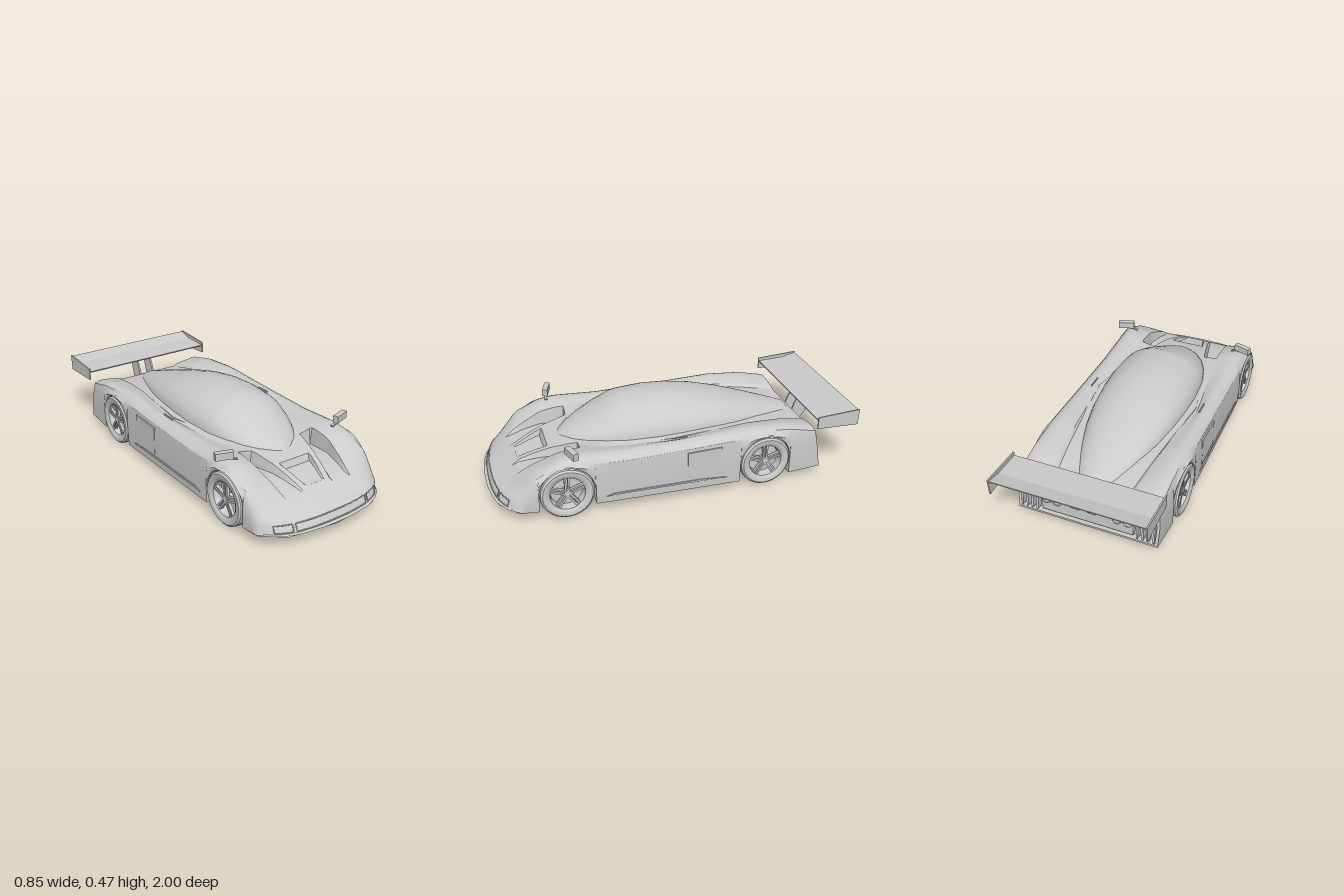
import * as THREE from 'three';
import { toCreasedNormals } from 'three/addons/utils/BufferGeometryUtils.js';

const mat = new THREE.MeshStandardMaterial({ color: 0xcccccc, side: THREE.DoubleSide });
const AXLES = [0.62, -0.465], WHEEL_Y = 0.143, ARCH = 0.146;

// Piecewise linear lookup, keys are [z, value] from front to back
function at(keys, z) {
  for (let i = 1; i < keys.length; i++) {
    const [a, va] = keys[i - 1], [b, vb] = keys[i];
    if (z >= b) return THREE.MathUtils.lerp(va, vb, THREE.MathUtils.clamp((a - z) / (a - b), 0, 1));
  }
  return keys[keys.length - 1][1];
}

// Body rules along z
const deckY = [[1, .07], [.985, .075], [.965, .118], [.9, .155], [.82, .205], [.74, .24], [.66, .268], [.55, .29], [.4, .305], [0, .31], [-.2, .308], [-.5, .29], [-.8, .25]];
const fenderY = [[1, .07], [.985, .075], [.965, .118], [.9, .165], [.82, .225], [.74, .27], [.64, .318], [.55, .33], [.3, .317], [0, .323], [-.4, .335], [-.6, .318], [-.8, .28]];
const halfW = [[1, .39], [.77, .398], [.4, .405], [-.4, .405], [-.8, .388]];
const floorY = [[1, .062], [.5, .055], [-.6, .038], [-.8, .045]];
const innerX = [[1, .09], [.83, .09], [.52, .16], [.3, .22], [0, .28], [-.8, .18]];
const outerX = [[1, .21], [.83, .21], [.65, .24], [.5, .24], [0, .3], [-.8, .22]];
const ductDepth = [[.86, 0], [.53, .075], [.522, .075], [.515, 0]];
const scoopX = [[.82, .06], [.66, .1], [.5, .1]];
const scoopDepth = [[.825, 0], [.815, .006], [.68, .03], [.665, 0]];

// Rounds the nose in plan
function warpZ(x, z) {
  if (z < 0.77) return z;
  const f = Math.pow(Math.max(0, 1 - Math.pow(Math.abs(x) / 0.405, 2.5)), 0.4);
  return 0.77 + (z - 0.77) * f;
}

function mirrorRing(half) {
  return [...half, ...half.slice(1, -1).reverse().map(([x, y, z]) => [-x, y, z])];
}

// Skin over closed rings ordered front to back, with both ends closed
function loft(rings, crease) {
  const out = [], n = rings[0].length, v = (p) => new THREE.Vector3(...p);
  const tri = (a, b, c) => {
    const A = v(a), area = v(b).sub(A).cross(v(c).sub(A)).length();
    if (area > 1e-9) out.push(...a, ...b, ...c);
  };
  const mid = (r) => [0, (r[0][1] + r[n / 2][1]) / 2, (r[0][2] + r[n / 2][2]) / 2];
  const first = rings[0], last = rings[rings.length - 1];
  for (let i = 0; i < n; i++) {
    const j = (i + 1) % n;
    for (let k = 1; k < rings.length; k++) {
      const a = rings[k - 1], b = rings[k];
      tri(a[i], a[j], b[i]);
      tri(a[j], b[j], b[i]);
    }
    tri(mid(first), first[j], first[i]);
    tri(mid(last), last[i], last[j]);
  }
  const g = new THREE.BufferGeometry();
  g.setAttribute('position', new THREE.Float32BufferAttribute(out, 3));
  return toCreasedNormals(g, crease);
}

function bodyRing(z) {
  const yc = at(deckY, z), fy = at(fenderY, z), w = at(halfW, z), yf = at(floorY, z);
  const xi = at(innerX, z), xo = at(outerX, z), xs = Math.min(at(scoopX, z), xi - 0.005);
  const k = THREE.MathUtils.clamp((fy - 0.06) / 0.26, 0, 1);
  const sd = z > .825 || z < .665 ? 0 : at(scoopDepth, z), dd = z > .86 || z < .515 ? 0 : at(ductDepth, z);
  const yo = fy - 0.02 * k, cut = dd > 0.004;
  const ductFloor = (y) => (cut ? yc - dd : y);
  let sill = yf;
  for (const c of AXLES) {
    const d = Math.abs(z - c);
    if (d <= ARCH) sill = WHEEL_Y + Math.sqrt(ARCH * ARCH - d * d);
  }
  const shoulder = Math.max(fy - 0.035 * k, Math.min(sill + 0.004, fy));
  const half = [
    [0, yc - sd], [xs - 0.008, yc - sd], [xs, yc], [xi, yc],
    [xi + 0.01, ductFloor(yc)], [xo - 0.01, ductFloor(THREE.MathUtils.lerp(yc, yo, 0.8))], [xo, yo],
    [THREE.MathUtils.lerp(xo, .35, .33), fy - 0.01 * k], [THREE.MathUtils.lerp(xo, .35, .66), fy - 0.002 * k],
    [.35, fy], [.377, fy - 0.012 * k], [w - 0.009, shoulder],
    [w, THREE.MathUtils.lerp(sill, shoulder, 0.6)], [w - 0.004, sill], [.275, sill], [.275, yf], [0, yf],
  ];
  // Tail leans forward towards the top
  const lean = THREE.MathUtils.clamp((-0.62 - z) / 0.18, 0, 1) * 0.04;
  return mirrorRing(half.map(([x, y]) => [x, y, warpZ(x, z) + lean * (y - 0.05) / 0.23]));
}

function bodyGeometry() {
  const zs = [1, .985, .965, .93, .9, .86, .825, .815, .79, .68, .665, .53, .523, .515, .4, .3, .2, .1, 0, -.1, -.2, -.28, -.66, -.72, -.8];
  for (const c of AXLES) {
    zs.push(c + ARCH + 0.001, c - ARCH - 0.001);
    for (let i = 0; i <= 14; i++) zs.push(c + ARCH * 0.9999 * Math.cos(Math.PI * i / 14));
  }
  const rings = zs.sort((a, b) => b - a).map(bodyRing);
  // Recessed tail panel
  const inset = rings[rings.length - 1].map(([x, y, z]) => [x * 0.96, 0.16 + (y - 0.16) * 0.9, z]);
  rings.push(inset, inset.map(([x, y, z]) => [x, y, z + 0.035]));
  return loft(rings, 0.55);
}

// Canopy stations: z, half width, base height, top height
const canopy = [[.6, .03, .25, .278], [.57, .085, .25, .3], [.53, .125, .265, .322], [.46, .17, .28, .358], [.37, .21, .295, .405], [.27, .237, .3, .454],
  [.23, .243, .3, .462], [.08, .255, .3, .47], [-.05, .25, .3, .463], [-.2, .235, .3, .437], [-.35, .207, .29, .396], [-.5, .165, .27, .348], [-.63, .125, .24, .306], [-.74, .09, .21, .268]];

function canopyRing([z, b, y0, y1]) {
  const half = [];
  for (let i = 0; i <= 9; i++) {
    const a = (i / 9) * Math.PI / 2;
    half.push([b * Math.sin(a), y0 + (y1 - y0) * Math.cos(a), z]);
  }
  half.push([0, y0 - 0.01, z]);
  return mirrorRing(half);
}

export function createModel() {
  const model = new THREE.Group();
  const add = (name, geo, x = 0, y = 0, z = 0, parent = model) => {
    const m = new THREE.Mesh(geo, mat);
    m.name = name;
    m.position.set(x, y, z);
    parent.add(m);
    return m;
  };
  const box = (x, y, z) => new THREE.BoxGeometry(x, y, z);
  // Plate drawn in (z, y), extruded across x and centred on it
  const plate = (pts, width) => new THREE.ExtrudeGeometry(
    new THREE.Shape(pts.map(([z, y]) => new THREE.Vector2(-z, y))), { depth: width, bevelEnabled: false },
  ).rotateY(Math.PI / 2).translate(-width / 2, 0, 0);

  add('body', bodyGeometry());
  add('canopy', loft(canopy.map(canopyRing), 0.5));

  // Thin frames around the nose lamps and grille
  const frame = (name, x0, x1) => {
    const p = (x, y) => new THREE.Vector3(x, y, warpZ(x, .985 - .02 * (y - .075) / .043));
    const xs = Array.from({ length: 9 }, (_, i) => x0 + (x1 - x0) * i / 8);
    const pts = [...xs.map((x) => p(x, .079)), ...xs.reverse().map((x) => p(x, .115))];
    const path = new THREE.CurvePath();
    pts.forEach((a, i) => path.add(new THREE.LineCurve3(a, pts[(i + 1) % pts.length])));
    add(name, new THREE.TubeGeometry(path, 100, 0.0028, 5, true));
  };
  frame('grilleFrame', -.222, .222);

  // Wheel, axis along x with the outer face towards +x
  const tyre = [[.1, .118], [.108, .123], [.13, .123], [.14, .115], [.143, .1], [.143, .015], [.135, 0], [.1, 0]];
  const rim = [[.1, 0], [.1, .118], [.092, .114], [.086, .085], [.086, .07], [0, .07]];
  const lathe = (pts) => toCreasedNormals(
    new THREE.LatheGeometry(pts.map(([r, h]) => new THREE.Vector2(r, h)).reverse(), 28).rotateZ(-Math.PI / 2), 0.6);
  const wheel = () => {
    const g = new THREE.Group();
    g.name = 'wheel';
    add('tyre', lathe(tyre), 0, 0, 0, g);
    add('rim', lathe(rim), 0, 0, 0, g);
    add('hub', new THREE.CylinderGeometry(.018, .022, .04, 12).rotateZ(-Math.PI / 2), .09, 0, 0, g);
    for (let i = 0; i < 5; i++) {
      for (const o of [-.009, .009]) {
        add('spoke', box(.016, .08, .01).translate(0, .05, o), .1, 0, 0, g).rotation.x = i * Math.PI * 0.4;
      }
    }
    return g;
  };

  for (const s of [1, -1]) {
    frame('lampFrame', s * .238, s * .325);
    for (const z of AXLES) {
      const w = wheel();
      w.position.set(s * .284, WHEEL_Y, z);
      if (s < 0) w.rotation.y = Math.PI;
      model.add(w);
    }

    // Mirrors
    const housing = add('mirror', box(.094, .038, .03), s * .375, .361, .585);
    housing.rotation.y = s * 0.32;
    add('mirrorStalk', box(.05, .008, .014), s * .33, .338, .598).rotation.z = s * 0.35;

    // Side skirt, door intake and deck latch
    add('sideSkirt', plate([[.42, .092], [.38, .104], [-.1, .1], [-.24, .088], [-.1, .09], [.38, .095]], .012), s * .402);
    add('sideIntake', plate([[-.02, .115], [-.21, .108], [-.21, .275], [-.02, .27]], .008), s * .401);
    add('deckLatch', box(.006, .008, .08), s * .322, .322, 0);

    // Tail lamps and louvres
    for (const x of [.165, .222]) {
      add('tailLamp', new THREE.TorusGeometry(.02, .005, 6, 18), s * x, .145, -.795);
      add('tailLampLens', new THREE.CylinderGeometry(.017, .017, .02, 18).rotateX(Math.PI / 2), s * x, .145, -.788);
    }
    for (let i = 0; i < 4; i++) {
      add('tailLouvre', box(.009, .17, .035), s * (.275 + i * .029), .15, -.772).rotation.x = 0.17;
    }

    // Wing struts and end plates
    add('wingStrut', plate([[-.75, .14], [-.8, .14], [-.86, .21], [-.9, .335], [-.82, .335], [-.79, .27]], .01), s * .045);
    add('wingEndPlate', plate([[-.755, .3], [-.995, .292], [-1, .382], [-.755, .368]], .008), s * .408);
  }
  add('tailPanel', box(.5, .11, .03), 0, .125, -.775);

  // Rear wing blade
  add('rearWing', plate([[-.757, .35], [-.83, .354], [-.91, .356], [-.998, .377], [-.998, .371], [-.91, .338], [-.83, .333], [-.76, .342]], .812));
  return model;
}
